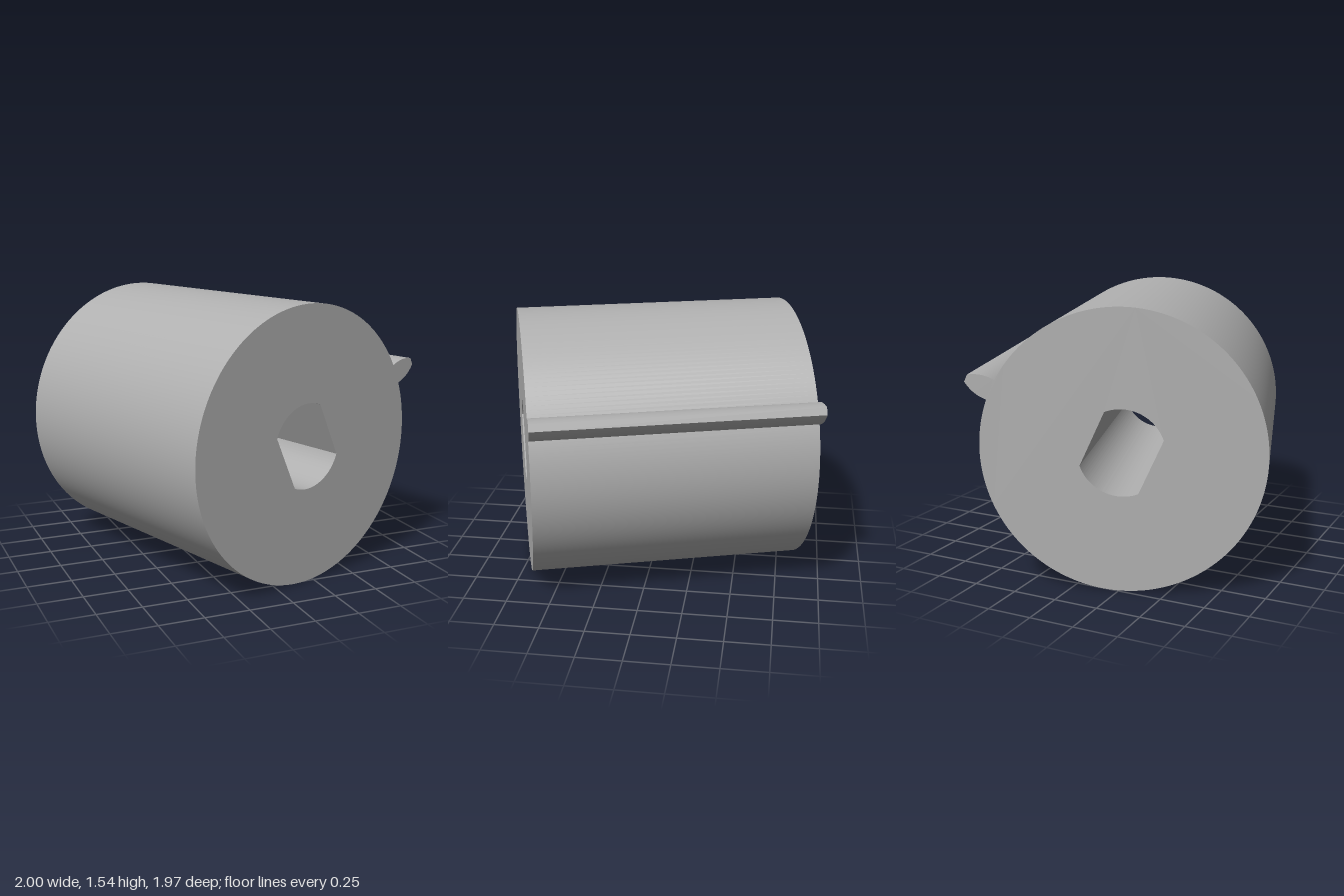
import * as THREE from 'three';
import { toCreasedNormals } from 'three/addons/utils/BufferGeometryUtils.js';

const LENGTH = 1.56;
const RADIUS = 0.77;

// Extrude a profile along z, centred, with smooth curves and sharp edges
function extrude(shape, curveSegments) {
  const geometry = new THREE.ExtrudeGeometry(shape, { depth: LENGTH, bevelEnabled: false, curveSegments });
  geometry.translate(0, 0, -LENGTH / 2);
  return toCreasedNormals(geometry, 0.4);
}

export function createModel() {
  const grey = new THREE.MeshStandardMaterial({ color: 0xb0b0b0 });
  grey.name = 'plain grey';

  // Round body with a shaft hole that has two opposite flats
  const body = new THREE.Shape();
  body.absarc(0, 0, RADIUS, 0, Math.PI * 2, false);
  const holeRadius = 0.237;
  const flat = THREE.MathUtils.degToRad(43.3);
  const hole = new THREE.Path();
  hole.absarc(0, 0, holeRadius, flat, Math.PI - flat, false);
  hole.absarc(0, 0, holeRadius, Math.PI + flat, Math.PI * 2 - flat, false);
  hole.closePath();
  body.holes.push(hole);
  const drum = new THREE.Mesh(extrude(body, 96), grey);
  drum.name = 'drum';

  // Tapered rib with bulging sides along the full length
  const rib = new THREE.Shape();
  rib.moveTo(0.755, -0.058);
  rib.lineTo(0.768, -0.058);
  rib.quadraticCurveTo(0.845, -0.066, 0.913, -0.021);
  rib.lineTo(0.913, 0.021);
  rib.quadraticCurveTo(0.845, 0.066, 0.768, 0.058);
  rib.lineTo(0.755, 0.058);
  rib.closePath();
  const ribMesh = new THREE.Mesh(extrude(rib, 16), grey);
  ribMesh.name = 'rib';

  // Rib and hole flats share one angle around the axis
  const rotor = new THREE.Group();
  rotor.name = 'rotor';
  rotor.add(drum, ribMesh);
  rotor.rotation.z = THREE.MathUtils.degToRad(24.4);

  // Turn the axis slightly away from straight ahead
  const model = new THREE.Group();
  model.name = 'ribbedDrum';
  const turned = new THREE.Group();
  turned.name = 'turnedDrum';
  turned.rotation.y = THREE.MathUtils.degToRad(17.16);
  turned.position.set(-0.035, RADIUS, 0.008);
  turned.add(rotor);
  model.add(turned);
  return model;
}
